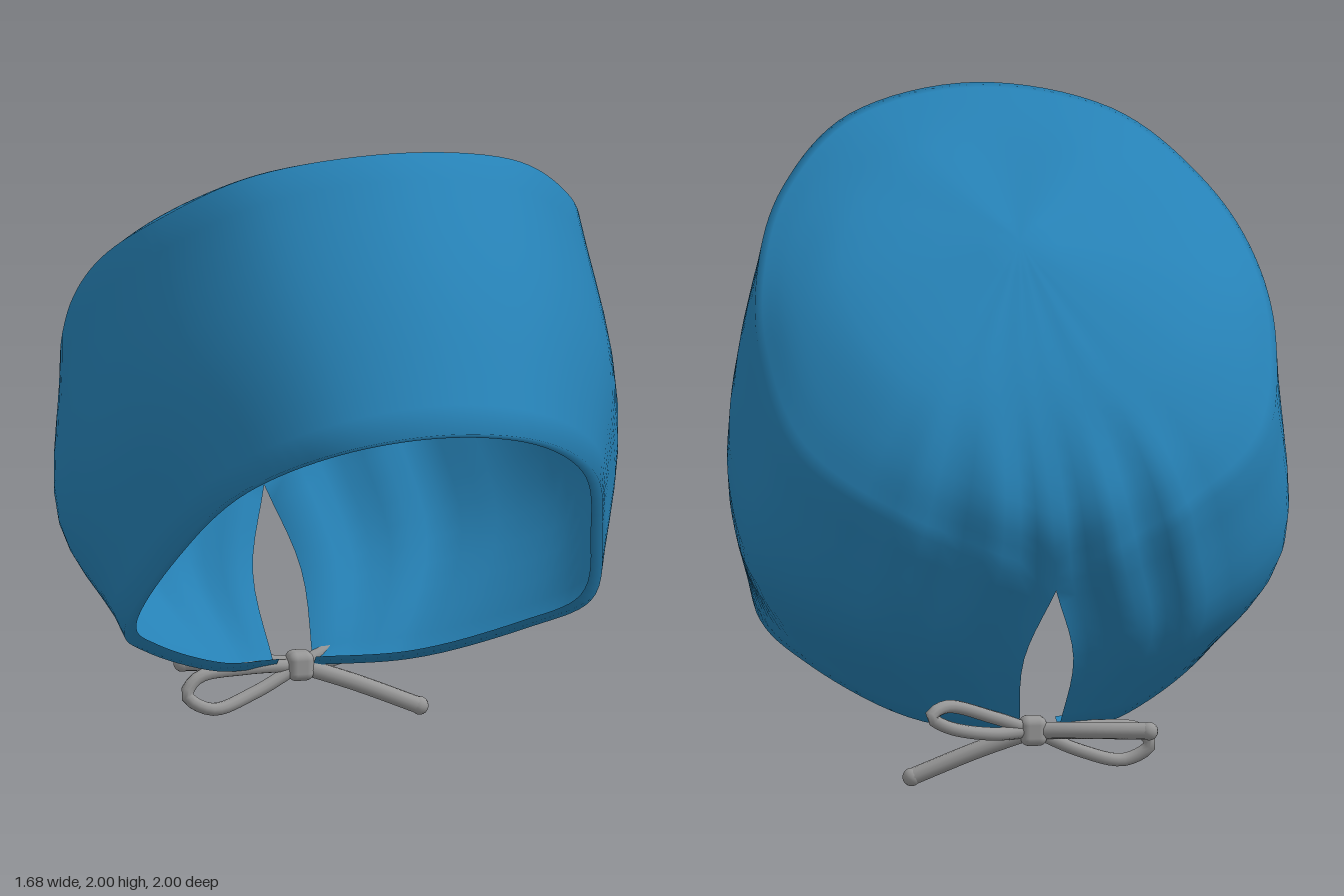
import * as THREE from 'three';
import { mergeVertices } from 'three/addons/utils/BufferGeometryUtils.js';
import { RoundedBoxGeometry } from 'three/addons/geometries/RoundedBoxGeometry.js';

const V = (p) => new THREE.Vector3(...p);

// Half-outlines from centre front to the slit at the back, from the rim up to the crown
const OUTLINES = [
  // rim
  [[0, 1.27, 1], [0.3, 1.22, 0.93], [0.55, 1.05, 0.68], [0.68, 0.75, 0.3],
    [0.73, 0.46, -0.02], [0.6, 0.33, -0.25], [0.3, 0.19, -0.5], [0.06, 0.17, -0.58]],
  // middle of the band
  [[0, 1.66, 0.72], [0.36, 1.58, 0.65], [0.64, 1.38, 0.4], [0.78, 1.12, 0.1],
    [0.84, 0.88, -0.2], [0.79, 0.66, -0.52], [0.48, 0.5, -0.76], [0.075, 0.42, -0.78]],
  // seam between band and crown
  [[0, 2, 0.39], [0.4, 1.93, 0.28], [0.64, 1.75, 0.04], [0.76, 1.55, -0.25],
    [0.79, 1.33, -0.48], [0.71, 1.05, -0.75], [0.42, 0.85, -0.93], [0, 0.65, -0.93]],
  // outer crown
  [[0, 1.95, 0.22], [0.32, 1.9, 0.13], [0.53, 1.77, -0.06], [0.65, 1.61, -0.29],
    [0.69, 1.43, -0.52], [0.6, 1.2, -0.76], [0.36, 1.03, -0.93], [0, 0.87, -1]],
  // inner crown
  [[0, 1.87, 0], [0.24, 1.85, -0.06], [0.4, 1.76, -0.19], [0.5, 1.65, -0.36],
    [0.52, 1.53, -0.54], [0.45, 1.37, -0.73], [0.26, 1.25, -0.85], [0, 1.22, -0.87]],
];
const CROWN_CENTRE = [0, 1.66, -0.52];
const SLIT_SHIFT = [0.05, 0.05, 0.05, 0.03, 0];
const FOLD_DEPTH = [0, 0.02, 0.025, 0.02, 0];

// Closed outline, mirrored left to right
function mirroredCurve(half) {
  const other = half.slice(1).reverse().map(([x, y, z]) => [-x, y, z]);
  return new THREE.CatmullRomCurve3([...other, ...half].map(V));
}

function capGeometry(columns = 112, bandRows = 10, crownRows = 14) {
  const curves = OUTLINES.map(mirroredCurve);
  const positions = [], index = [];
  const rows = bandRows + crownRows + 2;
  for (let c = 0; c <= columns; c++) {
    const u = c / columns, t = Math.abs(2 * u - 1);
    const back = THREE.MathUtils.smoothstep(t, 0.8, 1);
    const gather = THREE.MathUtils.smoothstep(t, 0.76, 0.92);
    // off-centre slit and gathered folds at the back
    const pts = curves.map((curve, k) => {
      const p = curve.getPoint(u);
      p.x -= SLIT_SHIFT[k] * back;
      p.z += FOLD_DEPTH[k] * gather * Math.sin((1 - t) * 75);
      return p;
    });
    const band = new THREE.CatmullRomCurve3(pts.slice(0, 3));
    const crown = new THREE.CatmullRomCurve3([...pts.slice(2), V(CROWN_CENTRE)]);
    // turned-in hem, then band, then crown
    const column = [pts[0].clone().lerp(V([0, 0.85, 0.1]), 0.05)];
    for (let i = 0; i <= bandRows; i++) column.push(band.getPoint(i / bandRows));
    for (let i = 1; i <= crownRows; i++) column.push(crown.getPoint(i / crownRows));
    column.forEach((p) => positions.push(p.x, p.y, p.z));
  }
  for (let c = 0; c < columns; c++) {
    for (let r = 0; r < rows - 1; r++) {
      const a = c * rows + r, b = a + rows;
      index.push(a, b, a + 1);
      if (r < rows - 2) index.push(b, b + 1, a + 1);
    }
  }
  const geometry = new THREE.BufferGeometry();
  geometry.setAttribute('position', new THREE.Float32BufferAttribute(positions, 3));
  geometry.setIndex(index);
  const welded = mergeVertices(geometry, 1e-4);
  welded.computeVertexNormals();
  return welded;
}

export function createModel() {
  const group = new THREE.Group();
  const fabric = new THREE.MeshStandardMaterial({ color: 0x2681b5, side: THREE.DoubleSide });
  fabric.name = 'blue fabric';
  const cord = new THREE.MeshStandardMaterial({ color: 0x989898 });
  cord.name = 'grey cord';

  const add = (parent, name, geometry, material) => {
    const mesh = new THREE.Mesh(geometry, material);
    mesh.name = name;
    parent.add(mesh);
    return mesh;
  };
  add(group, 'cap', capGeometry(), fabric);

  // Tie at the foot of the slit
  const bow = new THREE.Group();
  bow.name = 'bow';
  group.add(bow);
  const knotAt = [-0.03, 0.17, -0.59];
  add(bow, 'knot', new RoundedBoxGeometry(0.08, 0.09, 0.08, 3, 0.025), cord).position.set(...knotAt);

  const strand = (name, points, radius) => {
    const curve = new THREE.CatmullRomCurve3([knotAt, ...points].map(V));
    add(bow, name, new THREE.TubeGeometry(curve, 36, radius, 10), cord);
  };
  strand('rightLoop', [[-0.2, 0.175, -0.57], [-0.36, 0.16, -0.55], [-0.395, 0.11, -0.54],
    [-0.32, 0.065, -0.53], [-0.18, 0.1, -0.56], knotAt], 0.02);
  strand('leftLoop', [[0.1, 0.22, -0.63], [0.25, 0.265, -0.69], [0.3, 0.24, -0.715],
    [0.25, 0.205, -0.7], [0.1, 0.17, -0.64], knotAt], 0.02);
  const tails = {
    rightTail: [[-0.16, 0.175, -0.64], [-0.37, 0.175, -0.69]],
    leftTail: [[0.14, 0.11, -0.57], [0.335, 0.03, -0.55]],
  };
  for (const [name, points] of Object.entries(tails)) {
    strand(name, points, 0.026);
    add(bow, name + 'End', new THREE.SphereGeometry(0.028, 12, 8), cord).position.set(...points[1]);
  }
  return group;
}
